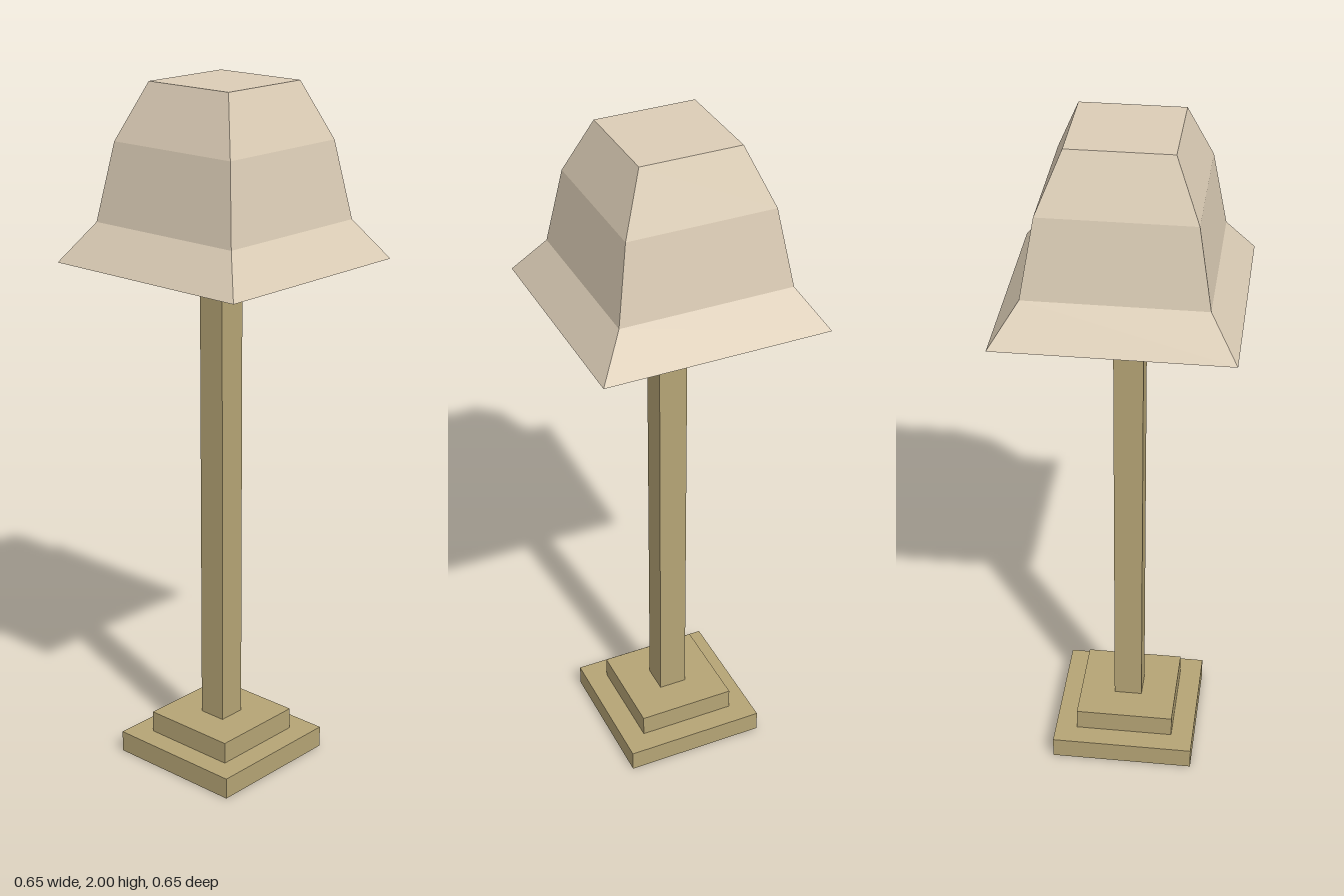
import * as THREE from 'three';

const brass = new THREE.MeshStandardMaterial({ color: 0xb5a475, flatShading: true });
const fabric = new THREE.MeshStandardMaterial({ color: 0xdccdb6, flatShading: true });

// Stand centre, slightly off the shade's axis
const STAND_X = -0.003, STAND_Z = 0.011;

// Square block between two heights, centred on the stand
function block(name, width, bottom, top) {
  const mesh = new THREE.Mesh(new THREE.BoxGeometry(width, top - bottom, width), brass);
  mesh.position.set(STAND_X, (bottom + top) / 2, STAND_Z);
  mesh.name = name;
  return mesh;
}

export function createModel() {
  const lamp = new THREE.Group();
  lamp.name = 'floorLamp';

  // Stepped foot and square post
  lamp.add(
    block('lowerBase', 0.42, 0, 0.063),
    block('upperBase', 0.29, 0.063, 0.127),
    block('post', 0.083, 0.127, 1.51),
  );

  // Four-sided closed shade: [half width, height] from the rim up
  const profile = [[0, 1.508], [0.324, 1.508], [0.247, 1.62], [0.21, 1.84], [0.143, 2], [0, 2]];
  const points = profile.map(([half, y]) => new THREE.Vector2(half * Math.SQRT2, y));
  const shadeGeometry = new THREE.LatheGeometry(points, 4).rotateY(Math.PI / 4).toNonIndexed();
  shadeGeometry.computeVertexNormals();
  const shade = new THREE.Mesh(shadeGeometry, fabric);
  shade.name = 'shade';
  lamp.add(shade);

  return lamp;
}
